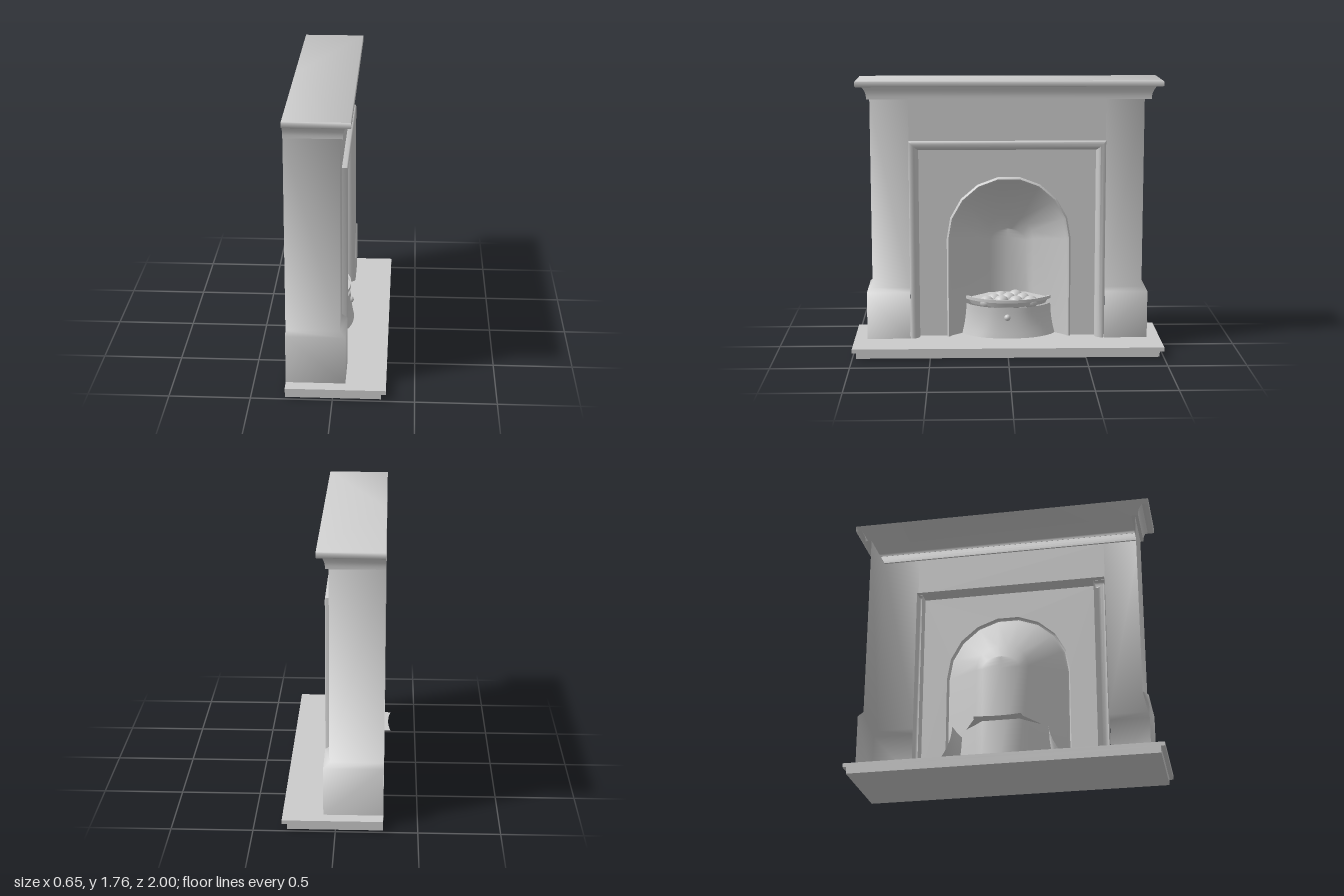
import * as THREE from 'three';
import { toCreasedNormals } from 'three/addons/utils/BufferGeometryUtils.js';

const grey = new THREE.MeshStandardMaterial({ color: 0xcccccc, side: THREE.DoubleSide });
const BACK = -0.29, FLOOR = 0.07;

function mesh(name, geometry) {
  const m = new THREE.Mesh(geometry, grey);
  m.name = name;
  return m;
}

// Skin a list of rows, each an equally long list of [x, y, z]
function loft(name, rows, crease = 0.6) {
  const n = rows[0].length, index = [];
  for (let r = 0; r < rows.length - 1; r++) {
    for (let i = 0; i < n - 1; i++) {
      const a = r * n + i, b = a + n;
      index.push(a, b, a + 1, a + 1, b, b + 1);
    }
  }
  const g = new THREE.BufferGeometry();
  g.setAttribute('position', new THREE.Float32BufferAttribute(rows.flat(2), 3));
  g.setIndex(index);
  return mesh(name, toCreasedNormals(g, crease));
}

function box(name, x0, x1, y0, y1, halfZ) {
  const m = mesh(name, new THREE.BoxGeometry(x1 - x0, y1 - y0, 2 * halfZ));
  m.position.set((x0 + x1) / 2, (y0 + y1) / 2, 0);
  return m;
}

// Arch outline in the plane x: straight legs and a nine-sided elliptical head
function arch(x, half, spring, top) {
  const c = -0.01, row = [[x, FLOOR, c + half]];
  for (let i = 0; i <= 9; i++) {
    const a = (i / 9) * Math.PI;
    row.push([x, spring + (top - spring) * Math.sin(a), c + half * Math.cos(a)]);
  }
  row.push([x, FLOOR, c - half]);
  return row;
}

// Mirrored plan curve through [x, z] points of one half, front point first
function planCurve(half) {
  const pts = [...half.slice(1).reverse().map(([x, z]) => [x, -z]), ...half];
  return new THREE.CatmullRomCurve3(pts.map(([x, z]) => new THREE.Vector3(x, 0, z - 0.01))).getPoints(32);
}

export function createModel() {
  const group = new THREE.Group();
  group.name = 'fireplace';

  // Hearth slab with a projecting top
  group.add(box('hearthBase', BACK, 0.295, 0, 0.045, 0.975));
  group.add(box('hearthTop', BACK, 0.325, 0.045, FLOOR, 1));

  // Hollow pilasters with chamfered plinths, joined by the lintel
  for (const s of [1, -1]) {
    const rows = [[FLOOR, 0.036], [0.38, 0.036], [0.405, 0], [1.64, 0]].map(([y, o]) => [
      [BACK, y, s * (0.88 + o)], [0.04 + o, y, s * (0.88 + o)], [0.04 + o, y, s * 0.634],
    ]);
    group.add(loft(s > 0 ? 'leftPilaster' : 'rightPilaster', rows, 2));
  }
  group.add(loft('lintel', [1.368, 1.64].map((y) => [[0.04, y, 0.634], [0.04, y, -0.634]])));

  // Mantel: cove moulding and shelf wrapped round three sides, open at the back
  const wrap = ([o, y]) => {
    const x = 0.06 + o, c = -0.012, w = 0.912 + o * 1.4;
    return [[BACK, y, c + w], [x, y, c + w], [x, y, c - w], [BACK, y, c - w]];
  };
  const cornice = [[-0.032, 1.64], [0, 1.64], [0, 1.66], [0.003, 1.68], [0.009, 1.7], [0.02, 1.722]];
  group.add(loft('cornice', cornice.map(wrap)));
  const shelf = [[0.018, 1.722], [0.045, 1.722], [0.05, 1.728], [0.05, 1.754], [0.046, 1.76]];
  const centre = Array.from({ length: 4 }, () => [BACK, 1.76, -0.012]);
  group.add(loft('mantelShelf', [...shelf.map(wrap), centre], 1));

  // Moulded frame: [inset, x] profile carried up, across and down, returning behind the panel
  const frameProfile = [[0, 0], [0, 0.068], [0.006, 0.075], [0.02, 0.076], [0.034, 0.071],
    [0.047, 0.06], [0.056, 0.045], [0.06, 0.028], [0.06, -0.085]];
  group.add(loft('surroundFrame', frameProfile.map(([d, x]) => {
    const z = 0.634 - d, y = 1.37 - d;
    return [[x, FLOOR, z], [x, y, z], [x, y, -z], [x, FLOOR, -z]];
  }), 0.8));

  // Inner panel with an arched opening
  const outline = new THREE.Shape();
  outline.moveTo(0.574, FLOOR).lineTo(0.574, 1.31).lineTo(-0.574, 1.31).lineTo(-0.574, FLOOR);
  arch(0, 0.405, 0.72, 1.135).forEach(([, y, z]) => outline.lineTo(-z, y));
  const panelGeometry = new THREE.ShapeGeometry(outline);
  panelGeometry.rotateY(Math.PI / 2);
  panelGeometry.translate(0.004, 0, 0);
  group.add(mesh('innerPanel', panelGeometry));

  // Firebox: rounded lip, then walls tapering to a narrow back
  const fireback = arch(-0.24, 0.12, 0.66, 0.74);
  group.add(loft('firebox', [
    arch(0.004, 0.405, 0.72, 1.135), arch(0.024, 0.403, 0.72, 1.133), arch(0.03, 0.394, 0.72, 1.124),
    arch(0.024, 0.384, 0.72, 1.114), arch(0.004, 0.376, 0.72, 1.106), arch(-0.19, 0.168, 0.68, 0.84),
    fireback, fireback.map(([x, y]) => [x, y, -0.01]),
  ], 0.9));

  // Fire basket: flared, bowed front
  const low = planCurve([[0.09, 0], [0.06, 0.17], [-0.04, 0.295], [-0.27, 0.37]]);
  const high = planCurve([[0.066, 0], [0.045, 0.13], [-0.06, 0.268], [-0.27, 0.3]]);
  const bandRows = [];
  for (let k = 0; k <= 6; k++) {
    const t = k / 6, f = (1 - t) ** 2;
    bandRows.push(low.map((p, i) => [
      high[i].x + (p.x - high[i].x) * f, FLOOR + 0.2 * t, high[i].z + (p.z - high[i].z) * f,
    ]));
  }
  group.add(loft('basketFront', bandRows, 1));

  // Bowed rail, ending just beyond the firebox walls
  const rim = planCurve([[0.07, 0], [0.045, 0.14], [-0.04, 0.258], [-0.075, 0.28]]);
  const ring = (scale, y) => rim.map((p) => [-0.1 + (p.x + 0.1) * scale, y, p.z * scale]);
  group.add(loft('basketRail', [ring(0.94, 0.302), ring(1, 0.302), ring(1, 0.322), ring(0.94, 0.322),
    ring(0.94, 0.302)]));

  // Thin coal bed with a sloping front and a hollowed back edge
  const bedRow = (x, half, hollow) => rim.map((p, i) => {
    const z = half * (i / 16 - 1);
    return [x - hollow * z * z, 0.305, z - 0.016];
  });
  group.add(loft('coalBed', [
    ring(0.88, 0.27), ring(0.95, 0.305), bedRow(-0.28, 0.155, 0), bedRow(-0.313, 0.148, 0.7),
  ]));

  // Coals in staggered rows
  const coal = new THREE.SphereGeometry(0.046, 14, 10);
  [[-0.002, 4], [-0.075, 3], [-0.15, 2]].forEach(([x, count], r) => {
    for (let i = 0; i < count; i++) {
      const m = mesh('coal', coal);
      const z = (i - (count - 1) / 2) * 0.096;
      m.position.set(x - 0.8 * z * z, 0.29 + 0.004 * ((i + r) % 3), z - 0.01);
      m.scale.set(1, 0.9, 1.05);
      group.add(m);
    }
  });

  // Knob on the basket front
  const knob = mesh('basketKnob', new THREE.SphereGeometry(0.021, 16, 12));
  knob.position.set(0.068, 0.205, 0);
  group.add(knob);

  return group;
}
